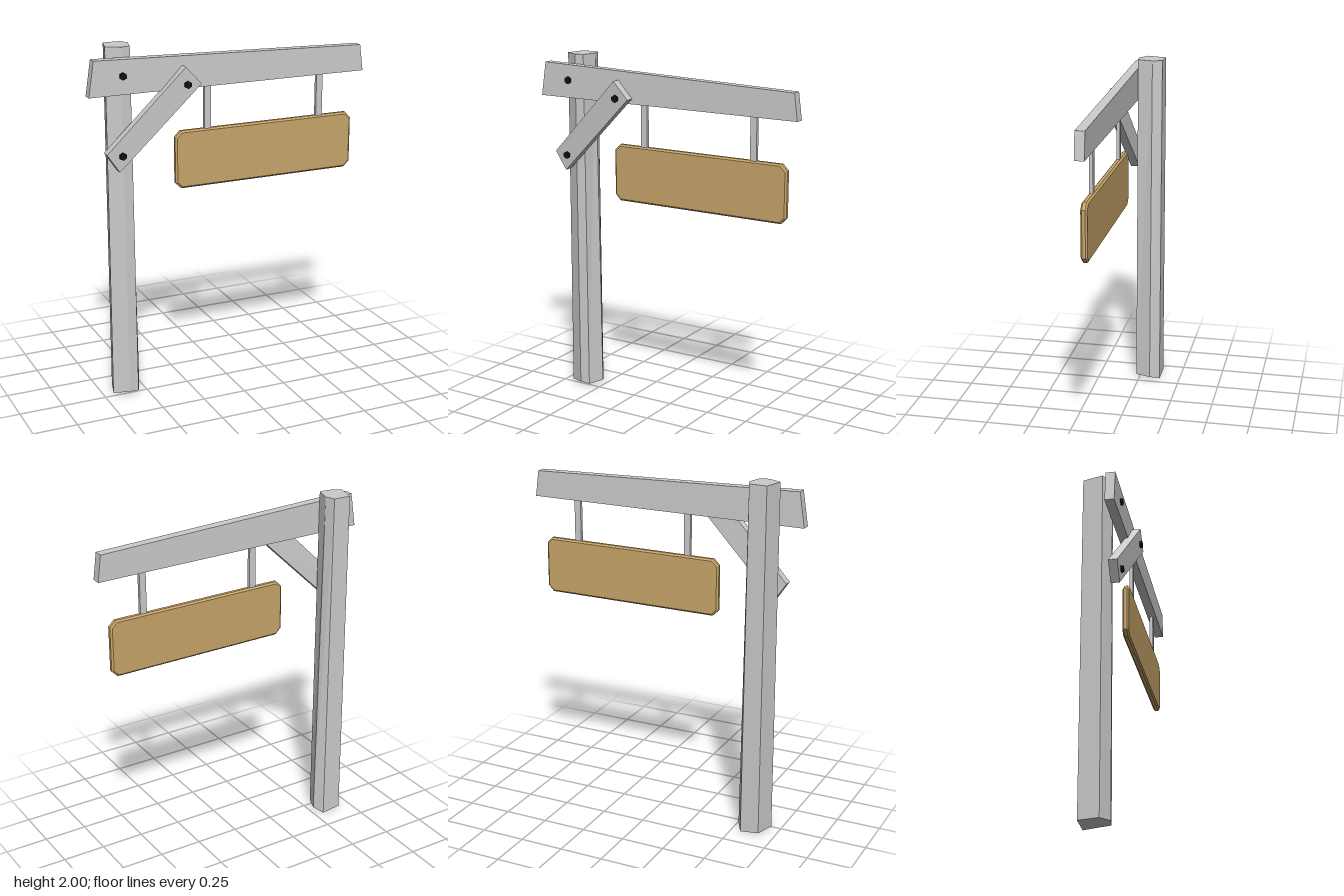
import * as THREE from 'three';

const grey = new THREE.MeshStandardMaterial({ color: 0xcccccc, flatShading: true });
const wood = new THREE.MeshStandardMaterial({ color: 0xc8a56a, flatShading: true });
const iron = new THREE.MeshStandardMaterial({ color: 0x111111, flatShading: true });

// Solid between two matching loops, counter-clockwise as seen from the second loop's side
function loft(a, b) {
  const n = a.length, pos = [];
  const mid = (l) => [0, 1, 2].map((k) => l.reduce((s, p) => s + p[k], 0) / n);
  const ca = mid(a), cb = mid(b);
  const tri = (...pts) => pts.forEach((p) => pos.push(...p));
  for (let i = 0; i < n; i++) {
    const j = (i + 1) % n;
    tri(a[i], a[j], b[j]);
    tri(a[i], b[j], b[i]);
    tri(ca, a[j], a[i]);
    tri(cb, b[i], b[j]);
  }
  const g = new THREE.BufferGeometry();
  g.setAttribute('position', new THREE.Float32BufferAttribute(pos, 3));
  g.computeVertexNormals();
  return g;
}

export function createModel() {
  const model = new THREE.Group();
  model.name = 'hangingSign';
  const add = (name, geometry, material, x = 0, y = 0, z = 0) => {
    const m = new THREE.Mesh(geometry, material);
    m.name = name;
    m.position.set(x, y, z);
    model.add(m);
    return m;
  };

  // Rough-hewn six-sided post, slightly wider at its uneven foot
  const top = [
    [-0.69, 2, -0.015], [-0.615, 2, 0.025], [-0.563, 2, 0.018],
    [-0.54, 2, -0.07], [-0.56, 2, -0.125], [-0.66, 2, -0.13],
  ];
  const footY = [0.01, 0.02, 0.015, 0.02, 0, 0.015];
  const foot = top.map(([x, , z], i) =>
    [-0.615 + (x + 0.615) * (i === 3 ? 1.27 : 1.1), footY[i], -0.052 + (z + 0.052) * 1.03]);
  add('post', loft(foot, top), grey);

  // Tapered cross beam on the front of the post
  const beam = [[-0.815, 1.757], [0.81, 1.757], [0.79, 1.905], [-0.785, 1.95]];
  add('beam', loft(beam.map(([x, y]) => [x, y, 0.022]), beam.map(([x, y]) => [x, y, 0.075])), grey);

  // Diagonal brace, running from the post face out over the beam
  const brace = [[-0.725, 1.44, 0.076], [-0.655, 1.336, 0.076], [-0.2, 1.787, 0.125], [-0.29, 1.885, 0.125]];
  add('brace', loft(brace.map(([x, y, z]) => [x, y, z - 0.05]), brace), grey);

  // Hexagonal bolt heads
  for (const [x, y, z] of [[-0.627, 1.857, 0.076], [-0.28, 1.788, 0.122], [-0.64, 1.426, 0.082]]) {
    add('bolt', new THREE.CylinderGeometry(0.021, 0.021, 0.024, 6), iron, x, y, z).rotation.x = Math.PI / 2;
  }

  // Hanger straps
  for (const x of [-0.136, 0.547]) {
    add('hanger', new THREE.BoxGeometry(0.038, 0.27, 0.02), grey, x, 1.635, 0.045);
  }

  // Board with clipped corners and bevelled edges
  const w = 0.529, h = 0.152, c = 0.028, bevel = 0.01;
  const outline = new THREE.Shape([
    [-w + c, -h], [w - c, -h], [w, -h + c], [w, h - c], [w - c, h], [-w + c, h], [-w, h - c], [-w, -h + c],
  ].map(([x, y]) => new THREE.Vector2(x, y)));
  const board = new THREE.ExtrudeGeometry(outline, {
    depth: 0.018, bevelEnabled: true, bevelSize: bevel, bevelThickness: 0.009, bevelSegments: 1,
  });
  add('board', board, wood, 0.211, 1.358, 0.035);

  return model;
}
